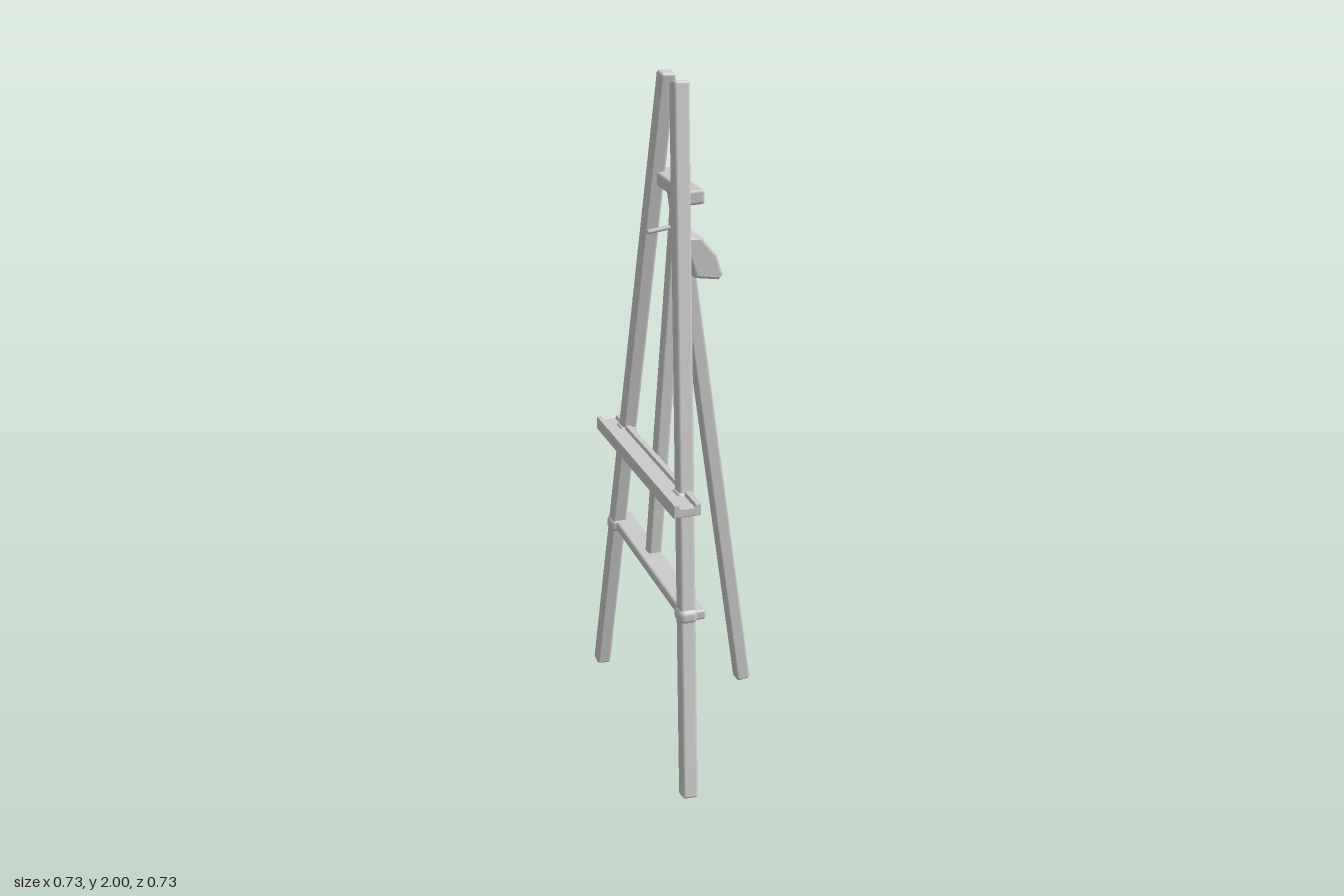
import * as THREE from 'three';
import { RoundedBoxGeometry } from 'three/addons/geometries/RoundedBoxGeometry.js';

const material = new THREE.MeshStandardMaterial({ color: 0xcccccc });
const V = (x, y, z) => new THREE.Vector3(x, y, z);

export function createModel() {
  const easel = new THREE.Group();
  easel.name = 'easel';
  // The whole easel stands turned; parts are laid out along its own width (x) and depth (z)
  const frame = new THREE.Group();
  frame.name = 'easelFrame';
  frame.rotation.y = -0.651;
  easel.add(frame);

  function add(name, geometry) {
    const mesh = new THREE.Mesh(geometry, material);
    mesh.name = name;
    frame.add(mesh);
    return mesh;
  }

  // Softly rounded bar running from one point to another
  function strut(name, from, to, width, depth = width) {
    const dir = to.clone().sub(from);
    const mesh = add(name, new RoundedBoxGeometry(width, dir.length(), depth, 3, 0.009));
    mesh.position.copy(from).add(to).multiplyScalar(0.5);
    mesh.quaternion.setFromUnitVectors(V(0, 1, 0), dir.normalize());
    return mesh;
  }

  // Softly rounded block
  function block(name, center, w, h, d, radius = 0.009) {
    const mesh = add(name, new RoundedBoxGeometry(w, h, d, 3, radius));
    mesh.position.copy(center);
    return mesh;
  }

  // Profile in depth (z) and height (y), extruded along the width from x0 to x1
  function extrudeAcross(name, points, x0, x1, bevel) {
    const shape = new THREE.Shape(points.map(([z, y]) => new THREE.Vector2(-z, y)));
    const geometry = new THREE.ExtrudeGeometry(shape, {
      depth: x1 - x0 - 2 * bevel, bevelEnabled: true, bevelSize: bevel,
      bevelThickness: bevel, bevelOffset: -bevel, bevelSegments: 2,
    });
    geometry.rotateY(Math.PI / 2);
    geometry.translate(x0 + bevel, 0, 0);
    return add(name, geometry);
  }

  // Legs and centre post
  const legs = [
    ['rightLeg', V(-0.373, 0.004, 0.071), V(-0.074, 1.996, -0.052)],
    ['leftLeg', V(0.474, 0.004, 0.064), V(0.107, 1.996, -0.026)],
  ];
  for (const [name, foot, top] of legs) strut(name, foot, top, 0.046);
  strut('backLeg', V(-0.116, 0.004, -0.333), V(-0.134, 1.68, -0.097), 0.046);
  strut('centrePost', V(-0.025, 0.54, 0.005), V(-0.015, 1.69, -0.072), 0.042);

  // Top crossbar and the hinge that holds the back leg
  strut('topCrossbar', V(-0.152, 1.69, -0.066), V(0.178, 1.69, -0.046), 0.042, 0.062);
  block('hingeBlock', V(-0.13, 1.682, -0.09), 0.052, 0.048, 0.07, 0.014);

  // Lower crossbar with swollen joints at the legs
  strut('lowerCrossbar', V(-0.335, 0.54, 0.013), V(0.396, 0.54, 0.022), 0.032, 0.072);
  for (const [, foot, top] of legs) {
    const p = foot.clone().lerp(top, 0.27);
    block('crossbarJoint', V(p.x, 0.54, p.z), 0.06, 0.046, 0.058, 0.018);
  }

  // Tray with a raised lip along the front and a lower one at the back
  extrudeAcross('tray', [
    [0.094, 0.862], [0.094, 0.902], [0.079, 0.902], [0.073, 0.889],
    [0.034, 0.889], [0.03, 0.898], [0.014, 0.898], [0.014, 0.862],
  ], -0.319, 0.422, 0.003);
  for (const [, foot, top] of legs) {
    const p = foot.clone().lerp(top, 0.44);
    block('trayBracket', V(p.x, 0.876, p.z + 0.004), 0.056, 0.04, 0.054, 0.012);
  }

  // Slanted clamp behind the post, and its thin peg in front
  extrudeAcross('clamp', [
    [-0.07, 1.542], [-0.125, 1.54], [-0.172, 1.485],
    [-0.192, 1.425], [-0.18, 1.41], [-0.108, 1.42],
  ], -0.098, 0.028, 0.008);
  strut('peg', V(-0.018, 1.57, -0.075), V(-0.03, 1.553, 0.022), 0.024, 0.012);

  return easel;
}
